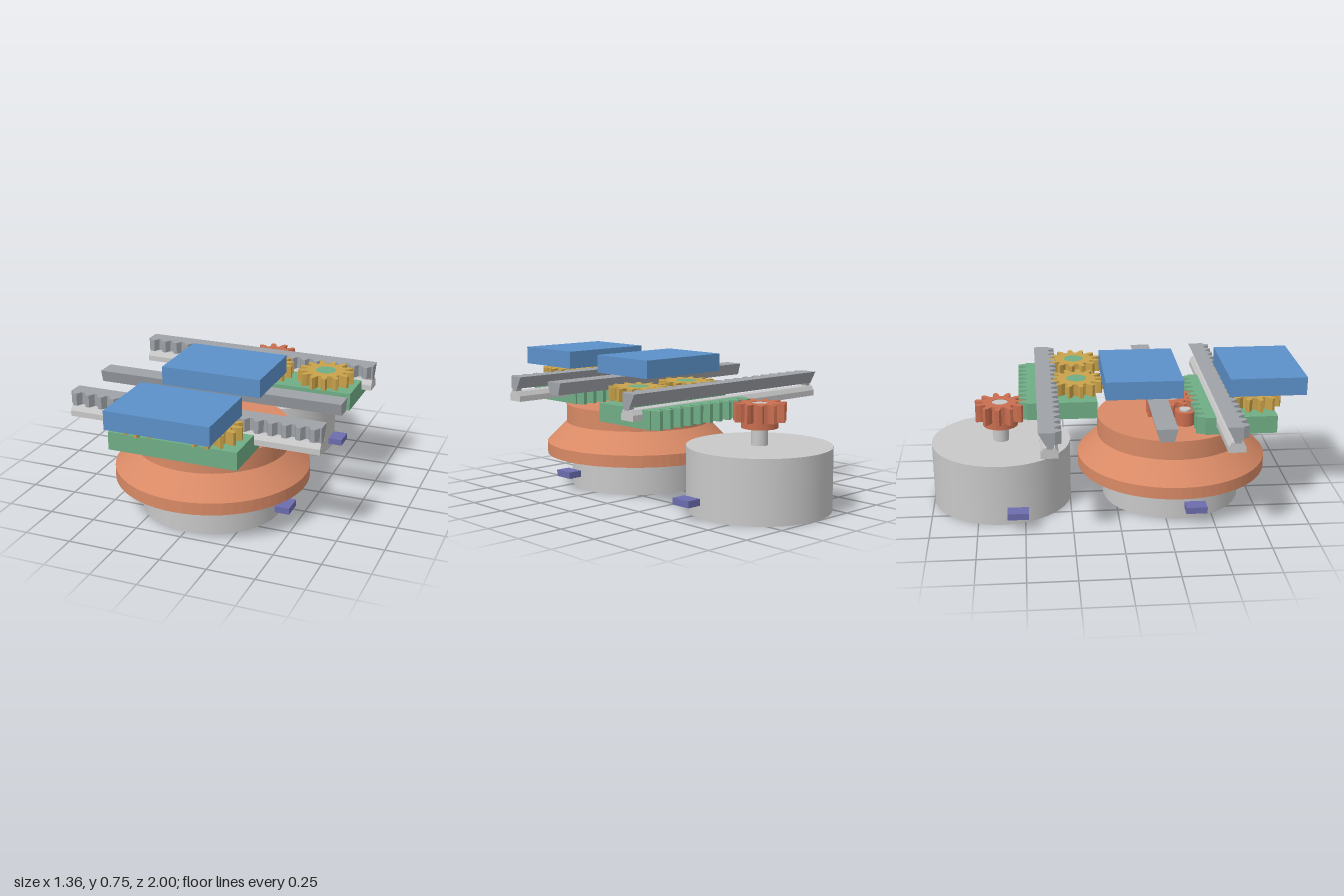
import * as THREE from 'three';

const mat = (name, color, extra = {}) => Object.assign(new THREE.MeshStandardMaterial({ color, ...extra }), { name });

export function createModel() {
  const M = {
    motor: mat('light grey', 0xc8c8c8),
    rack: mat('steel grey', 0x9fa3a8),
    housing: mat('orange', 0xd98a66),
    pinion: mat('red', 0xc96e50),
    plate: mat('green', 0x70ad86),
    gear: mat('yellow', 0xc9a24a),
    block: mat('blue', 0x5c91c9),
    tab: mat('purple', 0x6c6cae),
  };
  const root = new THREE.Group();

  const add = (parent, name, geo, material) => {
    const m = new THREE.Mesh(geo, material);
    m.name = name;
    parent.add(m);
    return m;
  };
  const group = (name) => {
    const g = new THREE.Group();
    g.name = name;
    root.add(g);
    return g;
  };
  const box = (p, name, x0, x1, y0, y1, z0, z1, m) =>
    add(p, name, new THREE.BoxGeometry(x1 - x0, y1 - y0, z1 - z0)
      .translate((x0 + x1) / 2, (y0 + y1) / 2, (z0 + z1) / 2), m);
  const cyl = (p, name, rTop, rBot, y0, y1, x, z, m, open = false) =>
    add(p, name, new THREE.CylinderGeometry(rTop, rBot, y1 - y0, 64, 1, open)
      .translate(x, (y0 + y1) / 2, z), m);

  // extrude a plan outline (x, -z) upwards from y0 to y1
  const upright = (shape, y0, y1) =>
    new THREE.ExtrudeGeometry(shape, { depth: y1 - y0, bevelEnabled: false, curveSegments: 24 })
      .rotateX(-Math.PI / 2).translate(0, y0, 0);

  // extrude a (z, y) cross-section along x
  const profileBar = (p, name, pts, x0, x1, m) => {
    const s = new THREE.Shape(pts.map(([z, y]) => new THREE.Vector2(-z, y)));
    return add(p, name, new THREE.ExtrudeGeometry(s, { depth: x1 - x0, bevelEnabled: false })
      .rotateY(Math.PI / 2).translate(x0, 0, 0), m);
  };

  // straight row of tapered teeth from root line zRoot to zTip
  const teeth = (p, name, x0, x1, zRoot, zTip, y0, y1, n, m) => {
    const w = (x1 - x0) / n, back = zRoot - (zTip - zRoot) * 0.15;
    const pts = [[x0, back]];
    for (let i = 0; i < n; i++) {
      const a = x0 + i * w;
      for (const [t, z] of [[0.12, zRoot], [0.35, zTip], [0.65, zTip], [0.88, zRoot]]) pts.push([a + t * w, z]);
    }
    pts.push([x1, back]);
    const s = new THREE.Shape(pts.map(([x, z]) => new THREE.Vector2(x, -z)));
    add(p, name, upright(s, y0, y1), m);
  };

  // spur gear with a round bore
  const spurGear = (p, name, n, rRoot, rTip, bore, x, z, y0, y1, m, turn = 0) => {
    const pts = [];
    for (let i = 0; i < n; i++) {
      for (const [t, r] of [[-0.3, rRoot], [-0.24, rRoot + (rTip - rRoot) * 0.55], [-0.11, rTip],
        [0.11, rTip], [0.24, rRoot + (rTip - rRoot) * 0.55], [0.3, rRoot]]) {
        const a = turn + ((i + t) / n) * Math.PI * 2;
        pts.push(new THREE.Vector2(r * Math.cos(a), r * Math.sin(a)));
      }
    }
    const s = new THREE.Shape(pts);
    s.holes.push(new THREE.Path().absarc(0, 0, bore, 0, Math.PI * 2, true));
    add(p, name, upright(s, y0, y1).translate(x, 0, z), m);
  };

  // two motors, each with shaft, pinion and side tabs
  for (const [name, z, h] of [['frontMotor', 0.315, 0.235], ['backMotor', -0.622, 0.335]]) {
    const g = group(name);
    cyl(g, 'motorBody', 0.378, 0.378, 0, h, 0, z, M.motor);
    cyl(g, 'motorShaft', 0.043, 0.043, h, 0.552, 0, z, M.motor);
    cyl(g, 'pinionHub', 0.095, 0.095, 0.425, 0.46, 0, z, M.pinion);
    spurGear(g, 'pinion', 11, 0.09, 0.138, 0.043, 0, z, 0.46, 0.555, M.pinion, 0.2);
    const tz = z + 0.085;
    for (const s of [-1, 1]) {
      box(g, 'sideTab', s * 0.44 - 0.04, s * 0.44 + 0.04, 0.075, 0.11, tz - 0.056, tz + 0.056, M.tab);
    }
  }

  // stepped housing over the front motor, with bolt holes in its flange
  const housing = group('housing');
  const HZ = 0.315;
  const ring = new THREE.Shape().absarc(0, 0, 0.517, 0, Math.PI * 2, false);
  ring.holes.push(new THREE.Path().absarc(0, 0, 0.376, 0, Math.PI * 2, true));
  for (let i = 0; i < 8; i++) {
    const a = (i * Math.PI) / 4;
    ring.holes.push(new THREE.Path().absarc(0.43 * Math.cos(a), 0.43 * Math.sin(a), 0.045, 0, Math.PI * 2, true));
  }
  const flange = new THREE.ExtrudeGeometry(ring, { depth: 0.06, bevelEnabled: false, curveSegments: 32 })
    .rotateX(-Math.PI / 2).translate(0, 0.18, HZ);
  add(housing, 'flange', flange, M.housing);
  cyl(housing, 'flangeLid', 0.517, 0.517, 0.238, 0.245, 0, HZ, M.housing);
  cyl(housing, 'cone', 0.407, 0.517, 0.245, 0.355, 0, HZ, M.housing, true);
  cyl(housing, 'collar', 0.407, 0.407, 0.355, 0.46, 0, HZ, M.housing);
  cyl(housing, 'idlerRing', 0.055, 0.055, 0.46, 0.535, -0.155, 0.37, M.pinion);
  cyl(housing, 'idlerPin', 0.03, 0.03, 0.535, 0.545, -0.155, 0.37, M.motor);

  // two sliding stages: slotted toothed plate, two gears and a toothed rack
  for (const [name, px, dz] of [['frontStage', 0, 0], ['backStage', 0.283, -0.93]]) {
    const g = group(name);
    const x0 = px - 0.342, x1 = px + 0.342;
    profileBar(g, 'slidePlate', [[0.835, 0.465], [0.835, 0.56], [0.608, 0.56], [0.608, 0.503],
      [0.51, 0.503], [0.51, 0.56], [0.455, 0.56], [0.455, 0.465]], x0, x1, M.plate);
    teeth(g, 'plateTeeth', x0, x1, 0.455, 0.41, 0.465, 0.56, 10, M.plate);
    for (const s of [-1, 1]) {
      const gx = px + s * 0.172;
      cyl(g, 'gearPost', 0.055, 0.055, 0.555, 0.64, gx, 0.73, M.plate);
      spurGear(g, 'idlerGear', 13, 0.105, 0.152, 0.055, gx, 0.73, 0.574, 0.64, M.gear, s * 0.1);
      box(g, 'rackPeg', s * 0.663 - 0.017, s * 0.663 + 0.017, 0.555, 0.578, 0.545, 0.582, M.rack);
    }
    profileBar(g, 'rackBar', [[0.588, 0.574], [0.588, 0.64], [0.505, 0.64], [0.54, 0.574]], -0.68, 0.68, M.rack);
    teeth(g, 'rackTeeth', -0.68, 0.68, 0.588, 0.62, 0.574, 0.64, 19, M.rack);
    profileBar(g, 'guideBar', [[0.604, 0.505], [0.604, 0.535], [0.588, 0.56], [0.53, 0.56],
      [0.515, 0.535], [0.515, 0.505]], -0.68, 0.68, M.motor);
    g.position.z = dz;
  }

  // plain middle bar and the two top blocks
  profileBar(root, 'middleBar', [[0.245, 0.574], [0.263, 0.64], [0.155, 0.64], [0.173, 0.574]], -0.68, 0.68, M.rack);
  box(root, 'frontBlock', -0.273, 0.273, 0.647, 0.745, 0.59, 1, M.block);
  box(root, 'middleBlock', -0.273, 0.273, 0.647, 0.745, -0.065, 0.345, M.block);
  return root;
}
